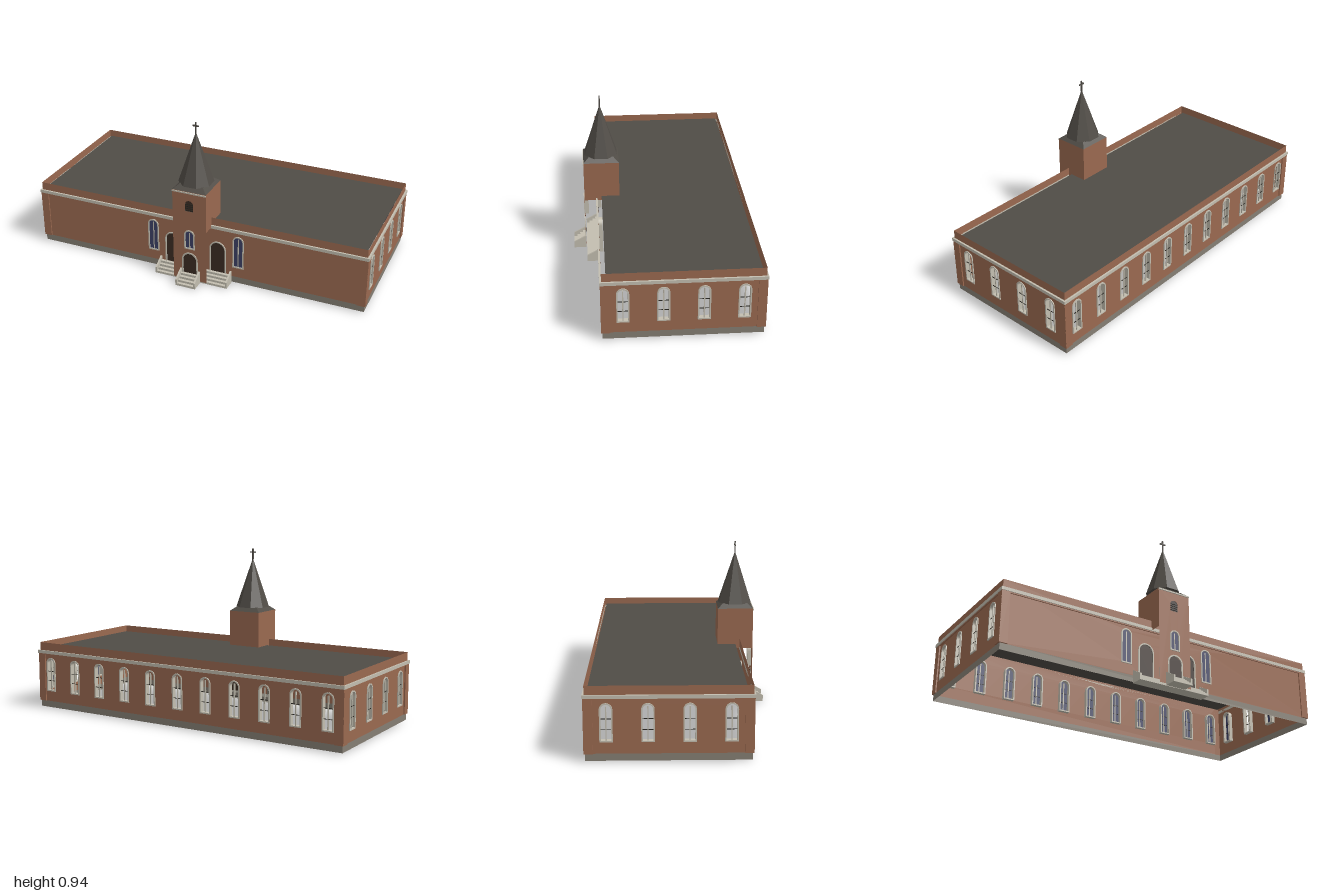
import * as THREE from 'three';

const mat = (name, color, side = THREE.FrontSide) => {
  const m = new THREE.MeshStandardMaterial({ color, side });
  m.name = name;
  return m;
};

export function createModel() {
  const brick = mat('brick', 0x9a6950, THREE.DoubleSide);
  const stone = mat('stone', 0xc3beb0);
  const plinth = mat('plinth', 0x857e73, THREE.DoubleSide);
  const slate = mat('slate', 0x504c46, THREE.DoubleSide);
  const glass = mat('glass', 0x3c4166);
  const timber = mat('timber', 0x3a2c22, THREE.DoubleSide);
  const iron = mat('iron', 0x26241f);

  const model = new THREE.Group();
  model.name = 'church';
  const HX = 0.987, HZ = 0.4125, CZ = -0.0675;

  const add = (parent, name, geo, material, x = 0, y = 0, z = 0) => {
    const m = new THREE.Mesh(geo, material);
    m.name = name;
    m.position.set(x, y, z);
    parent.add(m);
    return m;
  };
  const box = (parent, name, material, w, h, d, x, y, z) =>
    add(parent, name, new THREE.BoxGeometry(w, h, d), material, x, y, z);

  // Round-headed outline centred on u, from y0 to y1, half width r
  const arch = (u, y0, y1, r, Type = THREE.Shape) => {
    const s = new Type();
    s.moveTo(u - r, y0);
    s.lineTo(u + r, y0);
    s.lineTo(u + r, y1 - r);
    s.absarc(u, y1 - r, r, 0, Math.PI, false);
    s.lineTo(u - r, y0);
    return s;
  };
  const rect = (x0, y0, x1, y1) => {
    const s = new THREE.Shape();
    s.moveTo(x0, y0);
    s.lineTo(x1, y0);
    s.lineTo(x1, y1);
    s.lineTo(x0, y1);
    s.closePath();
    return s;
  };
  const surround = (parent, name, u, y0, y1, r, t, z0, z1, sill = t) => {
    const s = arch(u, y0 - sill, y1 + t, r + t);
    s.holes.push(arch(u, y0, y1, r, THREE.Path));
    add(parent, name, new THREE.ExtrudeGeometry(s,
      { depth: z1 - z0, bevelEnabled: false, curveSegments: 8 }), stone, 0, 0, z0);
  };
  const plate = (parent, name, material, u, y0, y1, r, z) =>
    add(parent, name, new THREE.ShapeGeometry(arch(u, y0, y1, r), 8), material, 0, 0, z);

  // Window: deep stone surround, panes, upright mullion and two glazing bars
  const addWindow = (parent, o) => {
    const g = new THREE.Group();
    g.name = 'window';
    g.position.x = o.u;
    parent.add(g);
    surround(g, 'windowSurround', 0, o.y0, o.y1, o.r, 0.007, -0.022, 0.005);
    if (o.pane !== false) {
      plate(g, 'innerPane', glass, 0, o.y0, o.y1, o.r, -0.002).rotation.y = Math.PI;
      if (o.outer) plate(g, 'outerPane', glass, 0, o.y0, o.y1, o.r, -0.001);
    }
    const h = o.y1 - o.y0;
    box(g, 'mullion', stone, 0.006, h - 0.01, 0.006, 0, o.y0 + h / 2 - 0.005, -0.003);
    for (const f of [0.3, 0.6]) box(g, 'glazingBar', iron, o.r * 2, 0.003, 0.003, 0, o.y0 + h * f, -0.003);
  };

  // One side of the building, built facing +z and then turned into place
  const addWall = (name, half, x, z, turn, windows, doors = []) => {
    const g = new THREE.Group();
    g.name = name;
    g.position.set(x, 0, z);
    g.rotation.y = turn;
    model.add(g);
    const face = rect(-half, 0.045, half, 0.393);
    for (const o of [...windows, ...doors]) face.holes.push(arch(o.u, o.y0, o.y1, o.r, THREE.Path));
    add(g, 'brickwork', new THREE.ShapeGeometry(face, 8), brick);
    add(g, 'plinth', new THREE.ShapeGeometry(rect(-half, 0.008, half, 0.045)), plinth);
    for (const w of windows) addWindow(g, w);
    for (const d of doors) {
      plate(g, 'archDoor', timber, d.u, d.y0, d.y1, d.r, -0.002);
      surround(g, 'doorSurround', d.u, d.y0, d.y1, d.r, 0.007, -0.001, 0.005, 0);
    }
    for (const s of [-1, 1])
      box(g, 'cornerPilaster', brick, 0.046, 0.285, 0.007, s * (half - 0.0165), 0.1875, 0.0035);
    box(g, 'corniceBand', stone, half * 2 + 0.02, 0.018, 0.010, 0, 0.338, 0.005);
    box(g, 'corniceUnder', brick, half * 2 + 0.012, 0.007, 0.006, 0, 0.3255, 0.003);
  };

  const win = (u, extra) => ({ u, y0: 0.112, y1: 0.298, r: 0.026, ...extra });
  const bays = [-0.3075, -0.1025, 0.1025, 0.3075];
  addWall('frontWall', HX, 0, CZ + HZ, 0, [-0.26, 0.26].map(u => win(u, { outer: true })),
    [-0.137, 0, 0.137].map(u => ({ u, y0: 0.05, y1: 0.24, r: 0.042 })));
  addWall('backWall', HX, 0, CZ - HZ, Math.PI,
    Array.from({ length: 11 }, (_, i) => win((i - 5) * 0.181)));
  addWall('leftWall', HZ, HX, CZ, Math.PI / 2, bays.map((u, i) => win(u, { pane: i !== 2 })));
  addWall('rightWall', HZ, -HX, CZ, -Math.PI / 2, bays.map((u, i) => win(u, { pane: i !== 1 })));

  // Flat roof behind the parapet
  box(model, 'flatRoof', slate, 1.94, 0.006, 0.79, 0, 0.355, -0.073);

  // Tower: full-height front face, upper box on the other sides
  const tower = new THREE.Group();
  tower.name = 'tower';
  tower.position.z = 0.32;
  model.add(tower);
  const towerFront = rect(-0.1, 0.01, 0.1, 0.565);
  const door = [0, 0.05, 0.177, 0.04], louvre = [0, 0.445, 0.51, 0.024], light = [0, 0.216, 0.322, 0.024];
  for (const a of [door, louvre, light]) towerFront.holes.push(arch(...a, THREE.Path));
  add(tower, 'towerFront', new THREE.ShapeGeometry(towerFront, 8), brick, 0, 0, 0.1);
  for (const turn of [1, 2, 3]) {
    const side = add(tower, 'towerSide', new THREE.ShapeGeometry(rect(-0.1, 0.333, 0.1, 0.565)), brick);
    side.rotation.y = turn * Math.PI / 2;
    side.position.set(Math.sin(side.rotation.y) * 0.1, 0, Math.cos(side.rotation.y) * 0.1);
  }
  const towerFace = new THREE.Group();
  towerFace.name = 'towerOpenings';
  towerFace.position.z = 0.1;
  tower.add(towerFace);
  plate(towerFace, 'mainDoor', timber, ...door, -0.002);
  surround(towerFace, 'mainDoorSurround', ...door, 0.008, -0.001, 0.004, 0);
  addWindow(towerFace, { u: 0, y0: 0.216, y1: 0.322, r: 0.024, outer: true });
  plate(towerFace, 'belfryOpening', timber, ...louvre, -0.002);
  for (let i = 0; i < 4; i++)
    box(towerFace, 'louvreSlat', iron, 0.046, 0.004, 0.004, 0, 0.453 + i * 0.012, 0);
  box(towerFace, 'towerBand', stone, 0.2, 0.008, 0.005, 0, 0.559, 0.0025);

  // Spire: square skirt, eight-sided cone and cross
  const skirt = new THREE.CylinderGeometry(0.07 * Math.SQRT2, 0.1 * Math.SQRT2, 0.025, 4).toNonIndexed();
  skirt.rotateY(Math.PI / 4);
  skirt.computeVertexNormals();
  add(tower, 'spireSkirt', skirt, slate, 0, 0.5775, 0);
  const cone = new THREE.ConeGeometry(0.099, 0.292, 8).toNonIndexed();
  cone.rotateY(Math.PI / 8);
  cone.computeVertexNormals();
  add(tower, 'spire', cone, slate, 0, 0.734, 0);
  box(tower, 'crossPost', slate, 0.007, 0.067, 0.007, 0, 0.902, 0);
  box(tower, 'crossArm', slate, 0.036, 0.007, 0.007, 0, 0.915, 0);

  // Flight of steps between two sloping cheek walls
  const addSteps = (name, half, zBack, depth) => {
    const g = new THREE.Group();
    g.name = name;
    g.position.z = zBack;
    model.add(g);
    const n = 4;
    for (let i = 0; i < n; i++) {
      const d = depth * (n - i) / n;
      box(g, 'step', stone, half * 2 - 0.02, 0.013, d, 0, 0.0065 + i * 0.013, d / 2);
    }
    const profile = new THREE.Shape();
    profile.moveTo(0, 0);
    profile.lineTo(-depth, 0);
    profile.lineTo(-depth, 0.037);
    profile.lineTo(0, 0.075);
    profile.closePath();
    for (const s of [-1, 1]) {
      const cheek = add(g, 'stepCheek', new THREE.ExtrudeGeometry(profile,
        { depth: 0.01, bevelEnabled: false }), stone, s * (half - 0.005) - 0.005);
      cheek.rotation.y = Math.PI / 2;
    }
  };
  addSteps('porchSteps', 0.22, 0.345, 0.07);
  addSteps('mainSteps', 0.06, 0.42, 0.07);

  return model;
}
